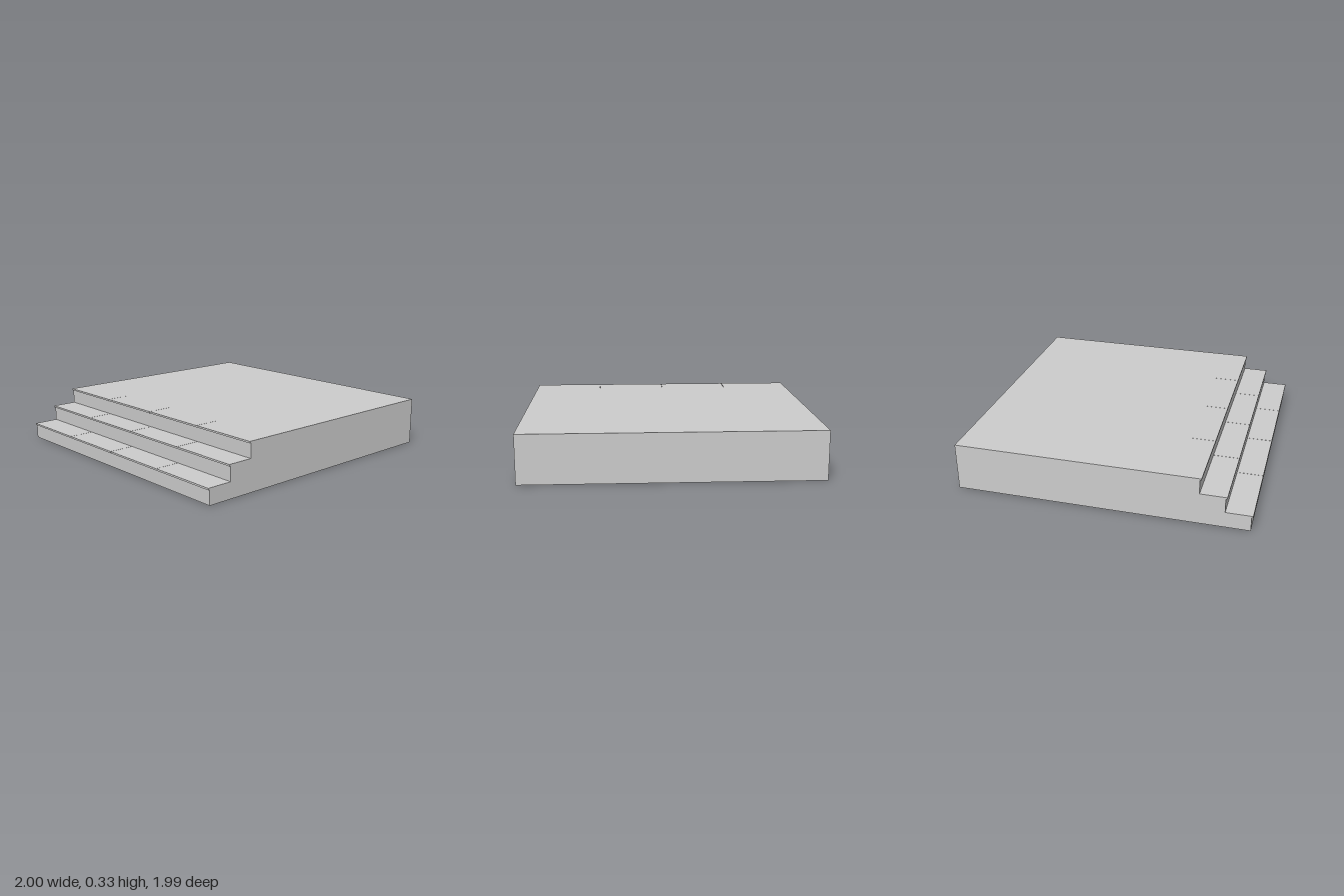
import * as THREE from 'three';

export function createModel() {
  const model = new THREE.Group();
  const material = new THREE.MeshStandardMaterial({ color: 0xcccccc, flatShading: true });
  const depth = 1.99, thick = 0.012, rise = 0.11, run = 0.167, steps = 3;
  const height = rise * steps, treadWidth = 0.177, nosing = 0.01;

  // Platform with a stepped left edge, recessed under each tread
  const profile = new THREE.Shape();
  profile.moveTo(1, 0);
  profile.lineTo(1, height);
  profile.lineTo(-1 + run * (steps - 1) + treadWidth, height);
  for (let i = steps - 1; i >= 0; i--) {
    const front = -1 + i * run + nosing;
    const back = -1 + i * run + treadWidth;
    const y = (i + 1) * rise - thick;
    profile.lineTo(back, y);
    profile.lineTo(front, y);
  }
  profile.lineTo(-1 + nosing, 0);
  const bodyGeometry = new THREE.ExtrudeGeometry(profile, { depth, bevelEnabled: false });
  bodyGeometry.translate(0, 0, -depth / 2);
  const platform = new THREE.Mesh(bodyGeometry, material);
  platform.name = 'platform';
  model.add(platform);

  // Each step is covered by a row of four thin slabs with fine joints
  const slabs = 4, joint = 0.002;
  const slabLength = (depth - joint * (slabs - 1)) / slabs;
  const slabGeometry = new THREE.BoxGeometry(treadWidth, thick, slabLength);
  for (let i = 0; i < steps; i++) {
    const tread = new THREE.Group();
    tread.name = `tread${i + 1}`;
    for (let j = 0; j < slabs; j++) {
      const slab = new THREE.Mesh(slabGeometry, material);
      slab.name = 'treadSlab';
      slab.position.set(
        -1 + i * run + treadWidth / 2,
        (i + 1) * rise - thick / 2,
        -depth / 2 + slabLength / 2 + j * (slabLength + joint)
      );
      tread.add(slab);
    }
    model.add(tread);
  }
  return model;
}
